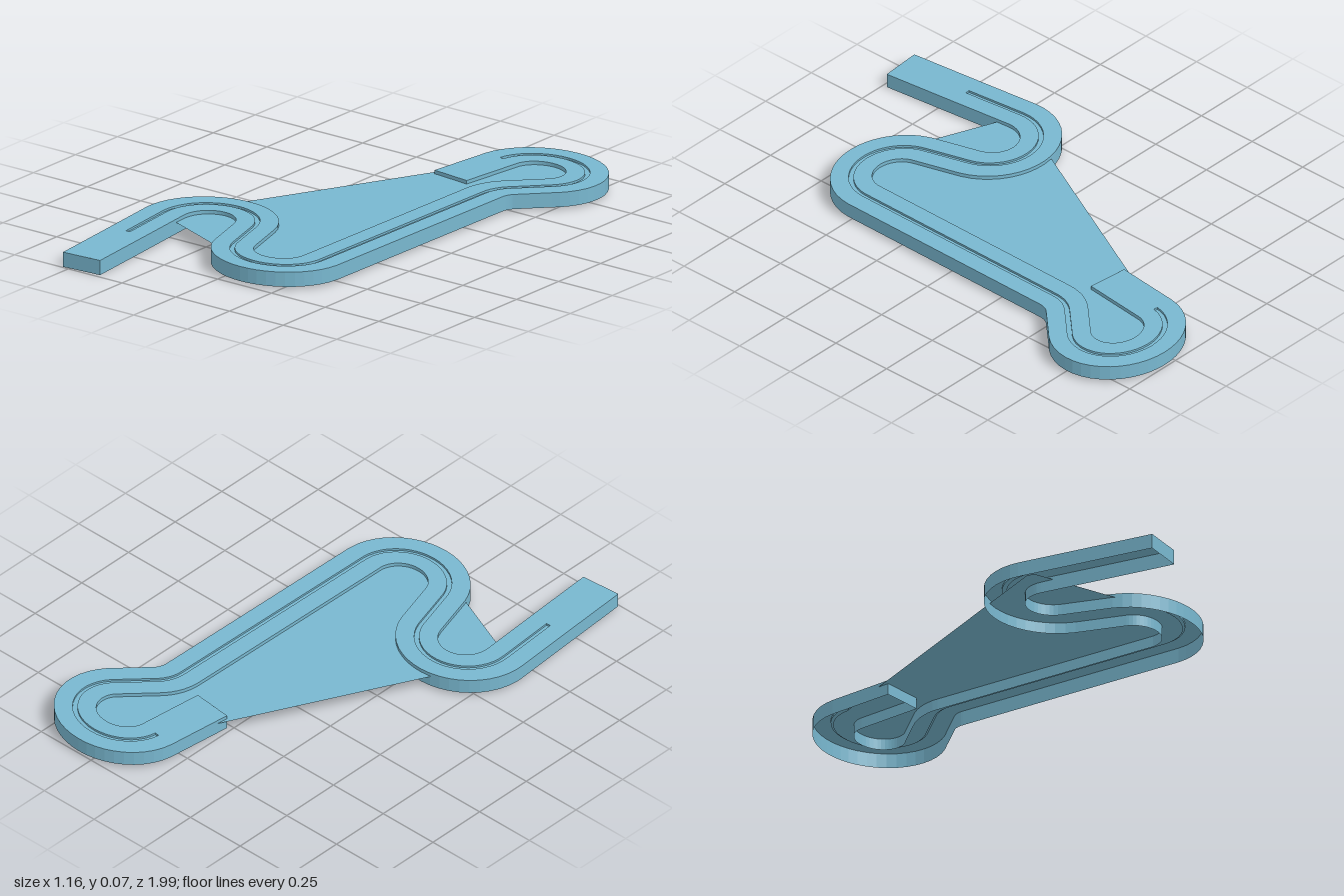
import * as THREE from 'three';

const TOP = 0.068, BASE = 0.011, SHEET_Y = 0.054;
const HALF_X = 0.082, HALF_Z = 0.073; // half width across x and across z
const GROOVE = 0.009, GROOVE_DEPTH = 0.008;

const material = new THREE.MeshStandardMaterial({
  color: 0x78b7cf, flatShading: true, side: THREE.DoubleSide,
});

// Points on an elliptical bend in the ground plane (angles in degrees)
function bend(cx, cz, rx, rz, from, to, n) {
  return Array.from({ length: n + 1 }, (_, i) => {
    const a = THREE.MathUtils.degToRad(from + (to - from) * i / n);
    return new THREE.Vector2(cx + rx * Math.cos(a), cz + rz * Math.sin(a));
  });
}

// Surface between two rails of equal length
function strip(name, railA, railB) {
  const pos = [], index = [];
  railA.forEach((p, i) => {
    pos.push(...p.toArray(), ...railB[i].toArray());
    if (i) {
      const k = 2 * i;
      index.push(k - 2, k - 1, k, k - 1, k + 1, k);
    }
  });
  const geo = new THREE.BufferGeometry();
  geo.setAttribute('position', new THREE.Float32BufferAttribute(pos, 3));
  geo.setIndex(index);
  geo.computeVertexNormals();
  const mesh = new THREE.Mesh(geo, material);
  mesh.name = name;
  return mesh;
}

export function createModel() {
  const group = new THREE.Group();
  group.name = 'track';

  // Centre line of the track
  const head = bend(0.308, -0.765, 0.189, 0.163, 187, 405, 26);
  const neck = bend(0.442, -0.45, 0.14, 0.14, 227, 180, 7);
  const low = bend(0.1, 0.5, 0.187, 0.168, 3, 163, 20);
  const side = bend(-0.31, 0.413, 0.185, 0.178, -17, -185, 20);
  const path = [
    new THREE.Vector2(0.09, -0.52), ...head, ...neck, ...low, ...side,
    new THREE.Vector2(-0.473, 0.68), new THREE.Vector2(-0.448, 0.988),
  ];
  const last = path.length - 1;

  // The front end ramps gently down to the ground
  const rampStart = last - 2;
  const drop = path.map((p, i) => i <= rampStart ? 0
    : BASE * (p.y - path[rampStart].y) / (path[last].y - path[rampStart].y));

  // Rail that runs beside the centre line at offset (ox, oz) and height y
  const rail = (ox, oz, y) => path.map((p, i) => {
    const t = path[Math.min(i + 1, last)].clone().sub(path[Math.max(i - 1, 0)]).normalize();
    return new THREE.Vector3(p.x - t.y * ox, y - drop[i], p.y + t.x * oz);
  });
  const edge = (s, y) => rail(s * HALF_X, s * HALF_Z, y);
  const lip = (s, y) => rail(s * GROOVE, s * GROOVE, y);

  // Road surface and skirts, open underneath
  const from = 1, to = last - 1; // the groove stops short of both ends
  const lips = [-1, 1].map(s => lip(s, TOP));
  const floors = [-1, 1].map(s => lip(s, TOP - GROOVE_DEPTH));
  [-1, 1].forEach((s, k) => {
    const name = s < 0 ? 'first' : 'second';
    group.add(strip(name + 'Skirt', edge(s, BASE), edge(s, TOP)));
    const lanes = [edge(s, TOP), lips[k]];
    if (s < 0) lanes.reverse();
    group.add(strip(name + 'Lane', ...lanes));
    group.add(strip(name + 'GrooveWall', lips[k].slice(from, to + 1), floors[k].slice(from, to + 1)));
  });

  // Guide groove floor, its closed ends, and the plain road beyond it
  group.add(strip('grooveFloor', floors[1].slice(from, to + 1), floors[0].slice(from, to + 1)));
  for (const i of [from, to]) {
    group.add(strip('grooveEnd', [lips[0][i], lips[1][i]], [floors[0][i], floors[1][i]]));
  }
  for (const i of [0, to]) {
    group.add(strip('plainRoad', lips[1].slice(i, i + 2), lips[0].slice(i, i + 2)));
  }

  // End plates
  const upper = [-1, 1].map(s => edge(s, TOP)), lower = [-1, 1].map(s => edge(s, BASE));
  for (const i of [0, last]) {
    group.add(strip('endPlate', [upper[0][i], upper[1][i]], [lower[0][i], lower[1][i]]));
  }

  // Thin infield sheet spanning the bends
  const outline = [
    ...head, ...neck, ...bend(0.1, 0.5, 0.187, 0.168, 3, 105, 12),
    new THREE.Vector2(-0.485, 0.445), new THREE.Vector2(-0.49, 0.415),
  ];
  const sheet = new THREE.Mesh(new THREE.ShapeGeometry(new THREE.Shape(outline)).rotateX(Math.PI / 2), material);
  sheet.geometry.scale(1, -1, 1);
  sheet.position.y = SHEET_Y;
  sheet.name = 'infieldSheet';
  group.add(sheet);

  return group;
}
